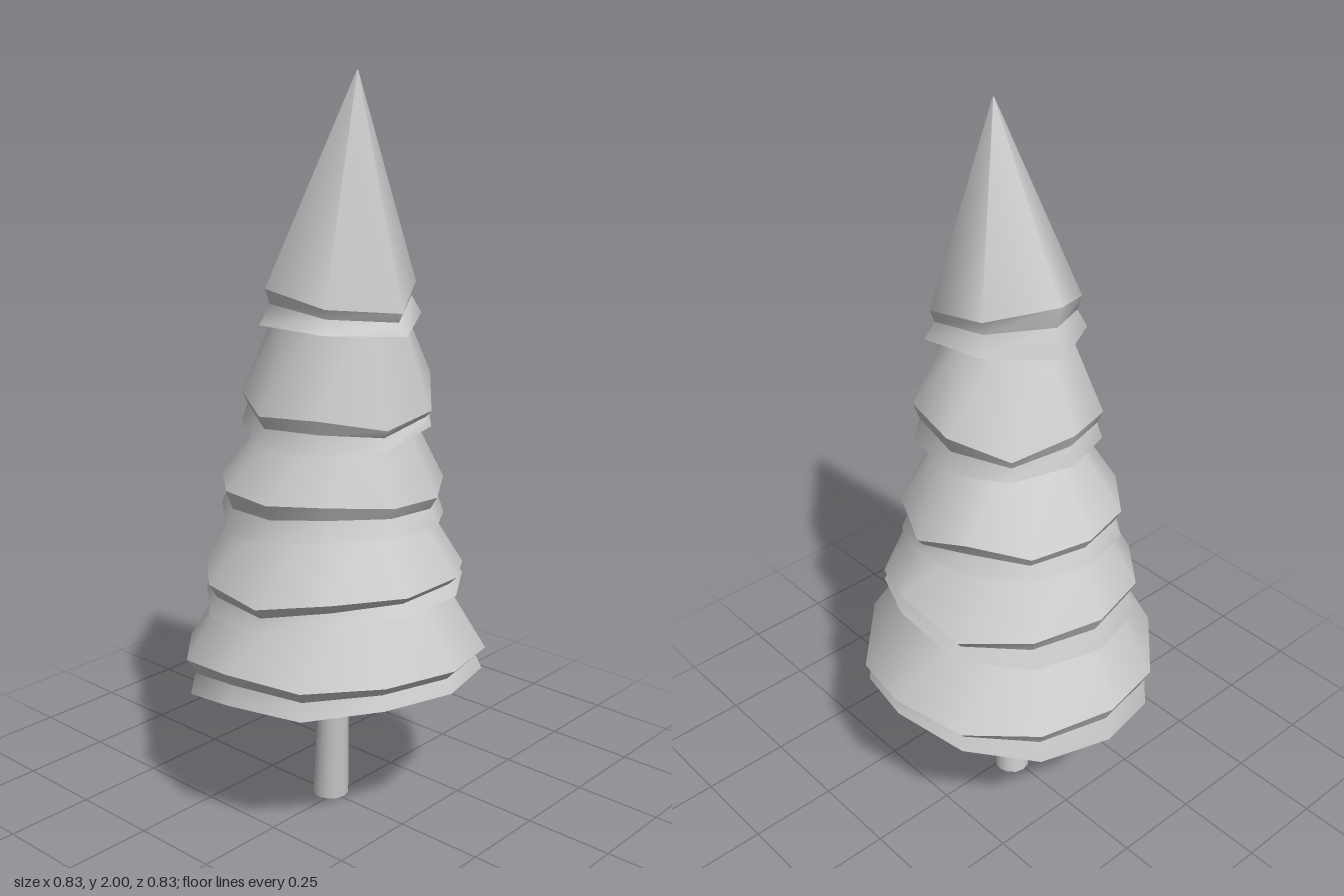
import * as THREE from 'three';
import { mergeGeometries } from 'three/addons/utils/BufferGeometryUtils.js';

const material = new THREE.MeshStandardMaterial({ color: 0xcccccc });

// Each tier, top to bottom: centre [x, z] and radius of its rim, its top ring
// [x, y, z, radius], and the uneven heights of rim and skirt, going round from the back via +x
const tiers = [
  { name: 'topTier', centre: [-0.073, 0.09], radius: 0.199, skirt: 1.08,
    top: [-0.08, 2, 0.145, 0.002],
    rimY: [1.54, 1.52, 1.48, 1.43, 1.45, 1.48],
    skirtY: [1.4, 1.43, 1.4, 1.375, 1.39, 1.39] },
  { name: 'upperTier', centre: [-0.05, 0.06], radius: 0.252, skirt: 1,
    top: [-0.068, 1.46, 0.088, 0.146],
    rimY: [1.22, 1.18, 1.22, 1.235, 1.17, 1.15, 1.18, 1.17, 1.2],
    skirtY: [1.13, 1.12, 1.11, 1.13, 1.13, 1.1, 1.09, 1.09, 1.12] },
  { name: 'middleTier', centre: [-0.022, 0.012], radius: 0.3, skirt: 1.01,
    top: [-0.035, 1.18, 0.055, 0.162],
    rimY: [0.96, 0.95, 0.98, 0.92, 0.945, 0.935, 0.945, 0.96, 0.95, 0.95, 0.95],
    skirtY: [0.885, 0.88, 0.89, 0.87, 0.845, 0.86, 0.87, 0.87, 0.85, 0.83, 0.87] },
  { name: 'lowerTier', centre: [-0.02, 0.015], radius: 0.355, skirt: 1,
    top: [-0.03, 0.95, 0.015, 0.21],
    rimY: [0.73, 0.72, 0.7, 0.757, 0.7, 0.725, 0.725, 0.725, 0.69, 0.7, 0.72],
    skirtY: [0.625, 0.63, 0.64, 0.7, 0.67, 0.675, 0.675, 0.66, 0.62, 0.61, 0.62] },
  { name: 'bottomTier', centre: [0, 0], radius: 0.417, skirt: 0.98,
    top: [-0.025, 0.73, 0.02, 0.262],
    rimY: [0.476, 0.47, 0.465, 0.485, 0.44, 0.49, 0.505, 0.51, 0.5, 0.51, 0.47, 0.45],
    skirtY: [0.36, 0.37, 0.4, 0.43, 0.39, 0.43, 0.44, 0.445, 0.42, 0.42, 0.37, 0.33] },
];

// Ring of points around a centre, one per height
function ring(x, z, radius, heights) {
  return heights.map((y, i) => {
    const t = (i / heights.length) * Math.PI * 2;
    return [x + radius * Math.sin(t), y, z - radius * Math.cos(t)];
  });
}

// Smooth band between two rings; a lower ring of one point closes it
function band(upper, lower) {
  const n = upper.length;
  const index = [];
  for (let i = 0; i < n; i++) {
    const j = (i + 1) % n;
    const b = (k) => n + (k % lower.length);
    index.push(i, j, b(j));
    if (lower.length > 1) index.push(i, b(j), b(i));
  }
  const geometry = new THREE.BufferGeometry();
  geometry.setAttribute('position', new THREE.Float32BufferAttribute([...upper, ...lower].flat(), 3));
  geometry.setIndex(index);
  geometry.computeVertexNormals();
  return geometry;
}

// Cone, undercut, flared skirt and underside, with hard edges between them
function makeTier({ name, centre: [x, z], radius, skirt, top: [tx, ty, tz, tr], rimY, skirtY }) {
  const upper = ring(tx, tz, tr, rimY.map(() => ty));
  const rim = ring(x, z, radius, rimY);
  const undercut = ring(x, z, radius * 0.94, rimY.map((y, i) => y + (skirtY[i] - y) * 0.42));
  const hem = ring(x, z, radius * skirt, skirtY);
  const meanY = skirtY.reduce((sum, y) => sum + y, 0) / skirtY.length;
  const mesh = new THREE.Mesh(mergeGeometries([
    band(upper, rim),
    band(rim, undercut),
    band(undercut, hem),
    band(hem, [[x, meanY + 0.025, z]]),
  ]), material);
  mesh.name = name;
  return mesh;
}

// Tapered trunk, sheared so it leans while its foot stays flat
function makeTrunk() {
  const height = 0.5;
  const geometry = new THREE.CylinderGeometry(0.038, 0.051, height, 12);
  geometry.translate(0.008, height / 2, -0.022);
  geometry.applyMatrix4(new THREE.Matrix4().set(
    1, -0.055, 0, 0,
    0, 1, 0, 0,
    0, 0.085, 1, 0,
    0, 0, 0, 1,
  ));
  const mesh = new THREE.Mesh(geometry, material);
  mesh.name = 'trunk';
  return mesh;
}

export function createModel() {
  const tree = new THREE.Group();
  tree.name = 'tree';
  tree.add(makeTrunk(), ...tiers.map(makeTier));
  return tree;
}
